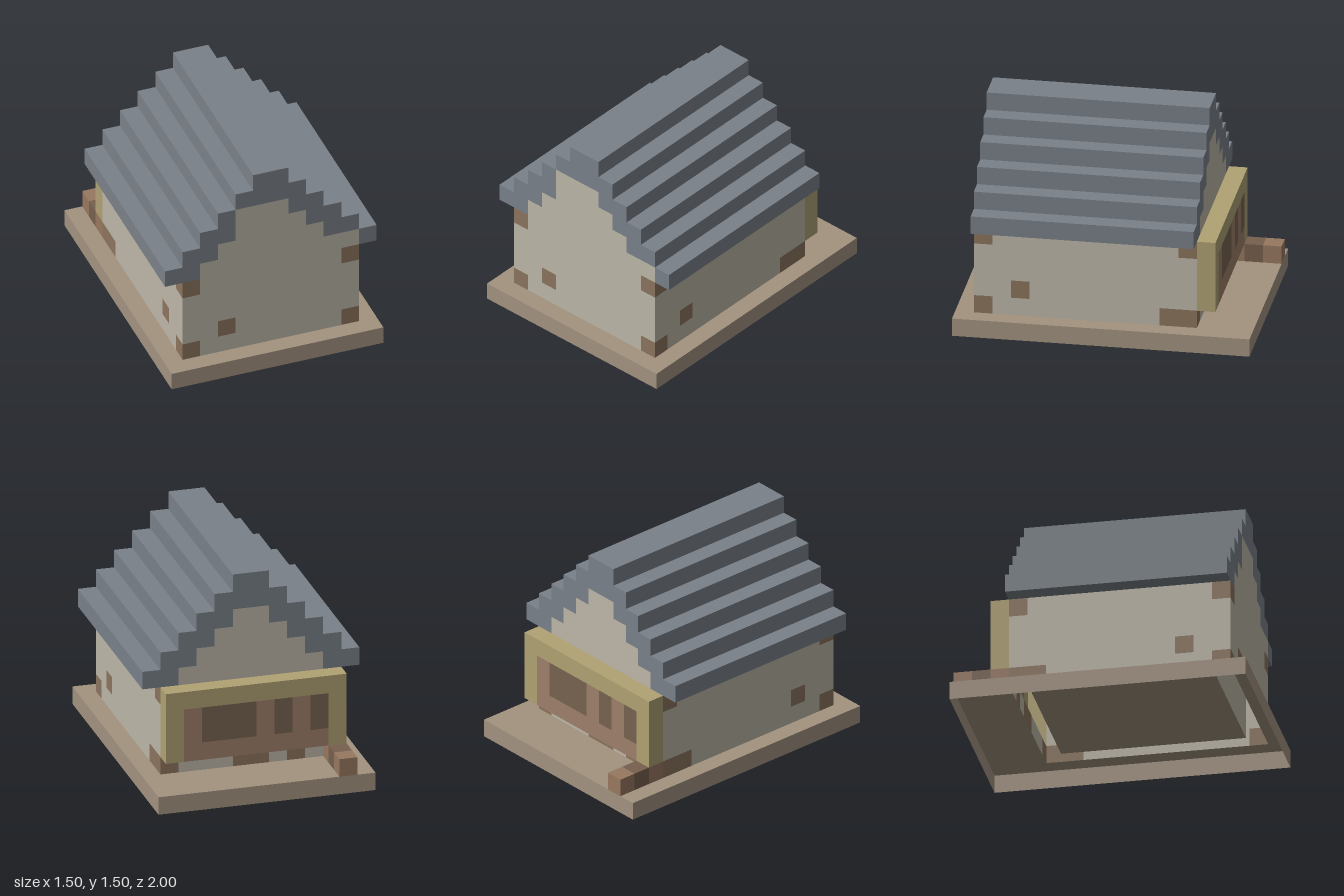
import * as THREE from 'three';

const U = 0.125; // edge of one block
const COLORS = {
  baseSlab: 0xa39380, wall: 0xbdb7a8, exposedBrick: 0x8c745e, roof: 0x7a8189,
  signFrame: 0xb0a274, signPanel: 0x9e806a, signDark: 0x77634f, step: 0x987860, stepDark: 0x77604e,
};

// For each face: outward direction and its corners, counter-clockwise from outside
const FACES = [
  [[1, 0, 0], [[1, 0, 1], [1, 0, 0], [1, 1, 0], [1, 1, 1]]],
  [[-1, 0, 0], [[0, 0, 0], [0, 0, 1], [0, 1, 1], [0, 1, 0]]],
  [[0, 1, 0], [[0, 1, 1], [1, 1, 1], [1, 1, 0], [0, 1, 0]]],
  [[0, -1, 0], [[0, 0, 0], [1, 0, 0], [1, 0, 1], [0, 0, 1]]],
  [[0, 0, 1], [[0, 0, 1], [1, 0, 1], [1, 1, 1], [0, 1, 1]]],
  [[0, 0, -1], [[1, 0, 0], [0, 0, 0], [0, 1, 0], [1, 1, 0]]],
];

export function createModel() {
  const group = new THREE.Group();
  const cells = new Map();
  const key = (x, y, z) => `${x},${y},${z}`;

  // Fill a range of blocks with a part; a later part replaces an earlier one
  function fill(part, x0, x1, y0, y1, z0, z1) {
    for (let x = x0; x < x1; x++)
      for (let y = y0; y < y1; y++)
        for (let z = z0; z < z1; z++) cells.set(key(x, y, z), { part, at: [x, y, z] });
  }

  // Base slab
  fill('baseSlab', -6, 6, 0, 1, -8, 8);

  // Hollow walls
  for (const x of [-5, 4]) fill('wall', x, x + 1, 1, 6, -5, 7);
  for (const z of [-5, 6]) {
    fill('wall', -5, 5, 1, 6, z, z + 1);
    for (let y = 6; y < 11; y++) fill('wall', y - 11, 11 - y, y, y + 1, z, z + 1);
  }

  // Stepped roof, two blocks wide on each step, with a ridge on top
  for (let y = 6; y < 11; y++) {
    fill('roof', 10 - y, 12 - y, y, y + 1, -5, 7);
    fill('roof', y - 12, y - 10, y, y + 1, -5, 7);
  }
  fill('roof', -1, 1, 11, 12, -5, 7);
  // Plaster showing between the front roof edges
  fill('wall', 4, 5, 6, 7, 6, 7);
  fill('wall', -2, -1, 9, 10, 6, 7);

  // Exposed bricks at the corners and in the walls
  for (const x of [-5, 4]) {
    for (const y of [1, 5])
      for (const z of [-5, 6]) fill('exposedBrick', x, x + 1, y, y + 1, z, z + 1);
    fill('exposedBrick', x, x + 1, 1, 2, -4, -3);
    fill('exposedBrick', x, x + 1, 2, 3, 4, 5);
  }
  fill('exposedBrick', -3, -2, 2, 3, 6, 7);
  fill('exposedBrick', -1, 1, 1, 2, -5, -4);
  fill('exposedBrick', -3, -2, 1, 2, -5, -4);

  // Framed board on the back wall
  fill('signFrame', -5, 5, 2, 6, -6, -5);
  fill('signPanel', -4, 4, 2, 5, -6, -5);
  for (const [x0, x1] of [[0, 3], [-2, -1], [-4, -3]]) fill('signDark', x0, x1, 3, 5, -6, -5);

  // Low brick row on the back of the slab
  fill('step', -5, -4, 1, 2, -8, -5);
  fill('stepDark', -5, -4, 1, 2, -7, -6);

  // One mesh per part from the exposed block faces; the underside stays open
  for (const [name, color] of Object.entries(COLORS)) {
    const positions = [], index = [];
    for (const { part, at: [x, y, z] } of cells.values()) {
      if (part !== name) continue;
      for (const [[dx, dy, dz], corners] of FACES) {
        if (y + dy < 0 || cells.has(key(x + dx, y + dy, z + dz))) continue;
        const n = positions.length / 3;
        for (const [a, b, c] of corners) positions.push((x + a) * U, (y + b) * U, (z + c) * U);
        index.push(n, n + 1, n + 2, n, n + 2, n + 3);
      }
    }
    const geometry = new THREE.BufferGeometry();
    geometry.setAttribute('position', new THREE.Float32BufferAttribute(positions, 3));
    geometry.setIndex(index);
    geometry.computeVertexNormals();
    const material = new THREE.MeshStandardMaterial({ color, flatShading: true, side: THREE.DoubleSide });
    const mesh = new THREE.Mesh(geometry, material);
    mesh.name = name;
    group.add(mesh);
  }
  return group;
}
